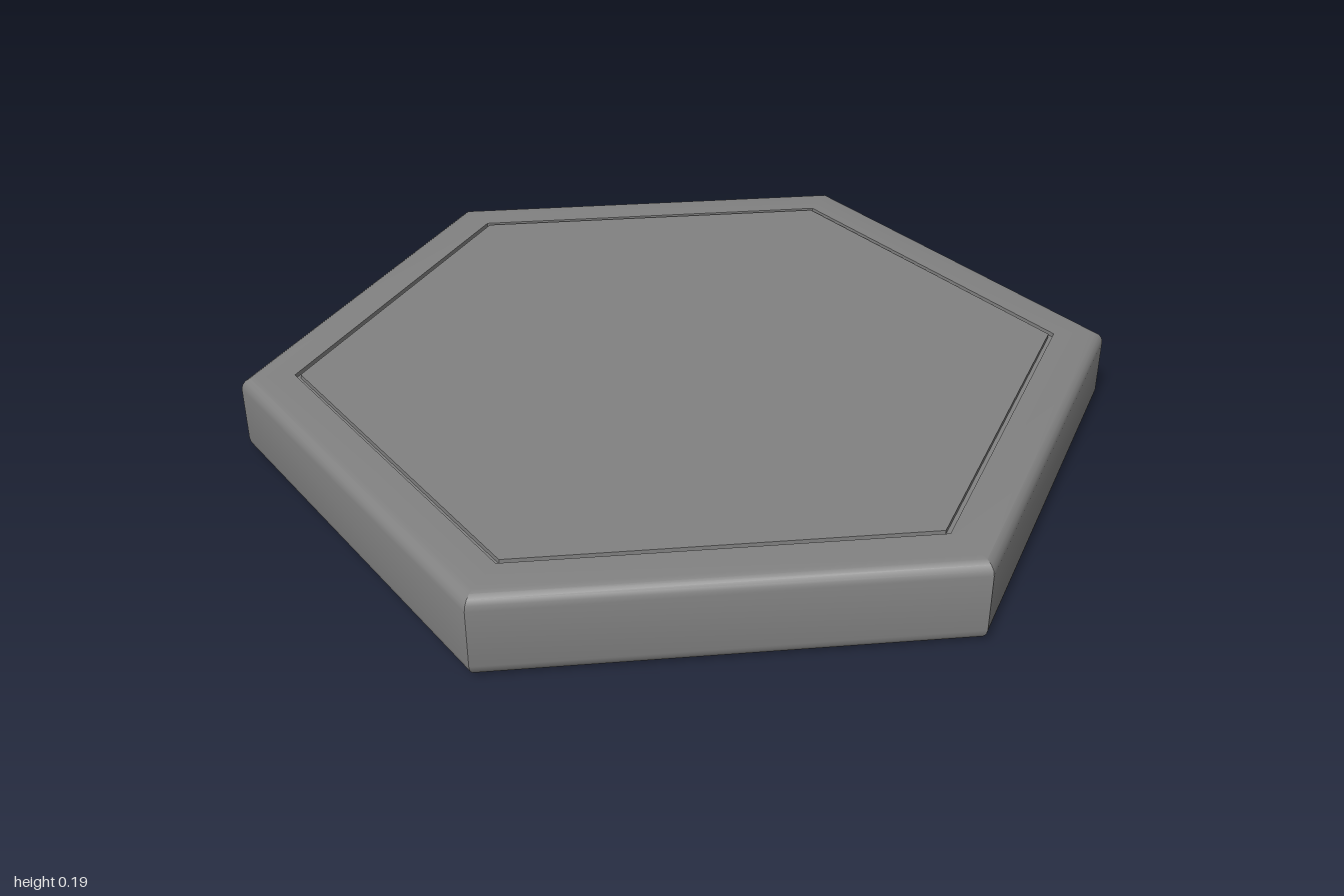
import * as THREE from 'three';
import { toCreasedNormals } from 'three/addons/utils/BufferGeometryUtils.js';

const HEIGHT = 0.19;
const APOTHEM = Math.cos(Math.PI / 6); // corner radius 1, corners on the z axis
const FILLET = 0.03;
const GROOVE_OUTER = 0.761;
const GROOVE_INNER = 0.75;
const GROOVE_DEPTH = 0.01;

// Six-sided solid from a list of [apothem, y], from bottom centre to top centre
function hexSolid(name, profile, material) {
  const points = profile.map(([a, y]) => new THREE.Vector2(a / APOTHEM, y));
  const geometry = toCreasedNormals(new THREE.LatheGeometry(points, 6), Math.PI / 7);
  const mesh = new THREE.Mesh(geometry, material);
  mesh.name = name;
  return mesh;
}

// Quarter-round edge between two angles
function fillet(y, from, to, steps = 4) {
  return Array.from({ length: steps + 1 }, (_, i) => {
    const t = from + ((to - from) * i) / steps;
    return [APOTHEM - FILLET + FILLET * Math.cos(t), y + FILLET * Math.sin(t)];
  });
}

export function createModel() {
  const group = new THREE.Group();
  group.name = 'hexagonalTile';
  const material = new THREE.MeshStandardMaterial({ color: 0x828282 });
  const floor = HEIGHT - GROOVE_DEPTH;

  // Base with rounded edges and a shallow pocket in the top
  group.add(hexSolid('base', [
    [0, 0],
    ...fillet(FILLET, -Math.PI / 2, 0),
    ...fillet(HEIGHT - FILLET, 0, Math.PI / 2),
    [GROOVE_OUTER, HEIGHT],
    [GROOVE_OUTER, floor],
    [0, floor],
  ], material));

  // Inlaid panel, leaving a thin groove around it
  group.add(hexSolid('topPanel', [
    [GROOVE_INNER, floor],
    [GROOVE_INNER, HEIGHT],
    [0, HEIGHT],
  ], material));

  return group;
}
